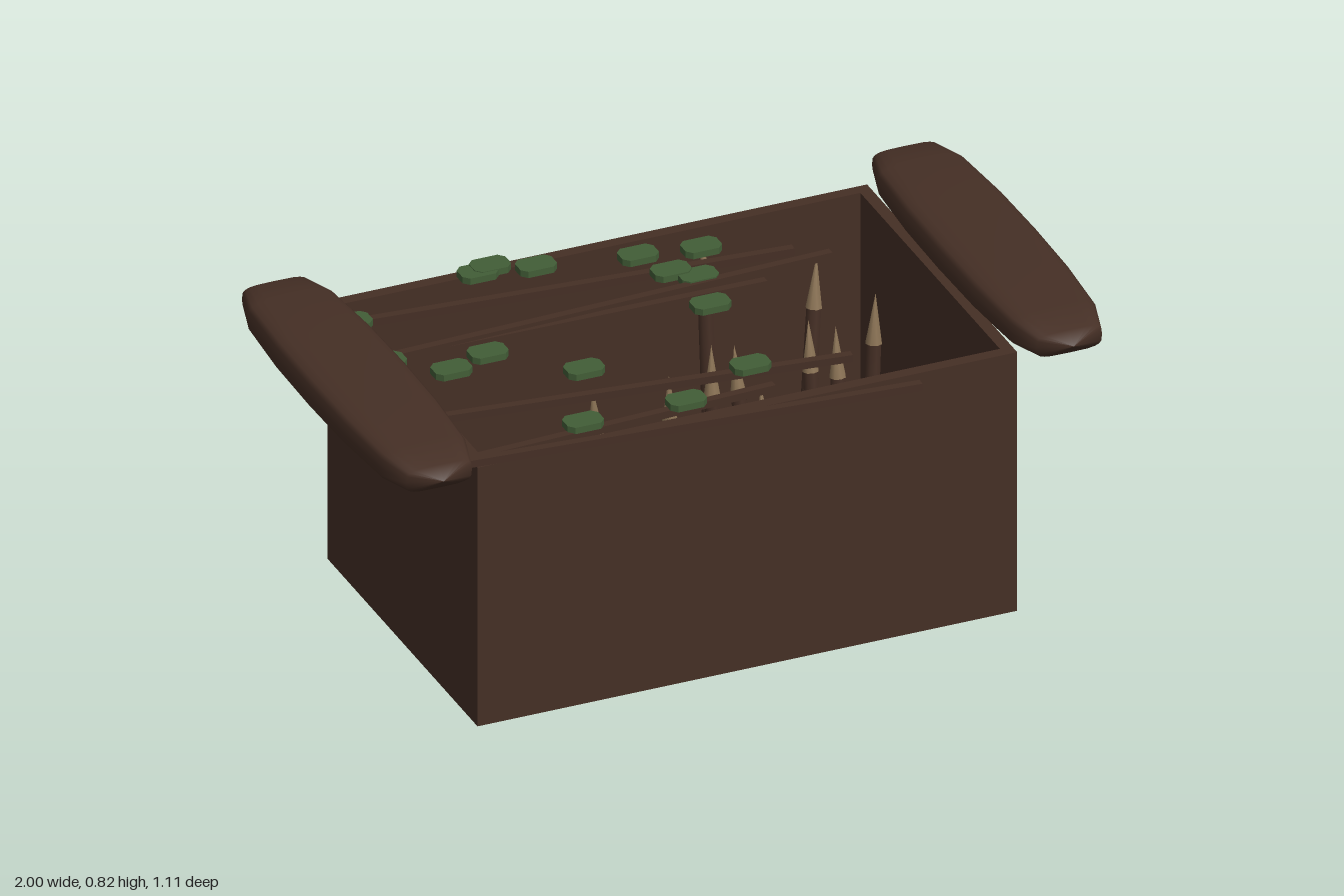
import * as THREE from 'three';

const bark = new THREE.MeshStandardMaterial({ color: 0x452f25 });
bark.name = 'dark bark';
const tan = new THREE.MeshStandardMaterial({ color: 0x8b7355 });
tan.name = 'cut wood';
const green = new THREE.MeshStandardMaterial({ color: 0x425e37 });
green.name = 'leaf green';

const rect = (P, hx, hy) => new P([[-hx, -hy], [hx, -hy], [hx, hy], [-hx, hy]].map(p => new THREE.Vector2(...p)));

// Boulder-like log lofted along z from rounded-rectangle sections
function logGeometry() {
  const half = [[0.136, 0.052, 0], [0.133, 0.051, 0.21], [0.12, 0.046, 0.41], [0.09, 0.033, 0.515], [0, 0, 0.545]];
  const stations = [...half.slice(1).reverse().map(([w, h, z]) => [w, h, -z]), ...half];
  const n = 20, pos = [], idx = [];
  const soft = v => Math.sign(v) * Math.sqrt(Math.abs(v));
  stations.forEach(([w, h, z], i) => {
    for (let j = 0; j < n; j++) {
      const a = (j / n) * Math.PI * 2;
      pos.push(w * soft(Math.cos(a)), h * soft(Math.sin(a)), z);
      if (i < stations.length - 1) {
        const p = i * n + j, q = i * n + (j + 1) % n;
        idx.push(p, q, p + n, q, q + n, p + n);
      }
    }
  });
  const g = new THREE.BufferGeometry();
  g.setAttribute('position', new THREE.Float32BufferAttribute(pos, 3));
  g.setIndex(idx);
  g.computeVertexNormals();
  return g;
}

// Flat leaf with clipped corners
function leafGeometry() {
  const pts = [[0.05, -0.018], [0.05, 0.018], [0.035, 0.034], [-0.035, 0.034],
    [-0.05, 0.018], [-0.05, -0.018], [-0.035, -0.034], [0.035, -0.034]];
  const s = new THREE.Shape(pts.map(p => new THREE.Vector2(...p)));
  return new THREE.ExtrudeGeometry(s, { depth: 0.018, bevelEnabled: false }).rotateX(-Math.PI / 2);
}

export function createModel() {
  const model = new THREE.Group();
  const add = (name, geo, mat, parent = model) => {
    const m = new THREE.Mesh(geo, mat);
    m.name = name;
    parent.add(m);
    return m;
  };

  // Pit: open walls and floor
  const frame = rect(THREE.Shape, 0.74, 0.47);
  frame.holes.push(rect(THREE.Path, 0.707, 0.437));
  const walls = new THREE.ExtrudeGeometry(frame, { depth: 0.745, bevelEnabled: false }).rotateX(-Math.PI / 2);
  add('pitWalls', walls, bark).position.z = -0.01;
  add('pitFloor', new THREE.BoxGeometry(1.414, 0.03, 0.874), bark).position.set(0, 0.015, -0.01);

  // Logs along both short sides
  const logGeo = logGeometry();
  for (const [name, s] of [['leftLog', 1], ['rightLog', -1]]) {
    add(name, logGeo, bark).position.set(s * 0.864, 0.771, -0.012);
  }

  // Leaning stakes: tip x, tip z, base x, base z, tip height
  const stakes = [
    [0.25, -0.39, 0.26, -0.35, 0.74], [0.51, -0.27, 0.44, -0.2, 0.7], [0.43, -0.14, 0.43, -0.085, 0.6],
    [0.2, -0.08, 0.23, -0.035, 0.61], [0.22, 0.04, 0.245, 0.09, 0.55], [0.54, 0.03, 0.505, 0.05, 0.74],
    [0.38, 0.145, 0.38, 0.21, 0.74], [-0.21, -0.03, -0.15, -0.08, 0.6], [-0.03, 0.04, 0.01, -0.015, 0.55],
    [-0.25, 0.22, -0.22, 0.2, 0.43], [-0.1, 0.235, -0.075, 0.19, 0.48], [-0.53, 0.225, -0.545, 0.21, 0.45],
    [0.19, -0.2, 0.185, -0.17, 0.55], [0.065, -0.18, 0.08, -0.19, 0.5],
  ];
  const up = new THREE.Vector3(0, 1, 0), point = 0.14;
  for (const [tx, tz, bx, bz, h] of stakes) {
    const base = new THREE.Vector3(bx, 0.025, bz);
    const axis = new THREE.Vector3(tx, h, tz).sub(base);
    const len = axis.length(), shaft = len - point;
    const stake = new THREE.Group();
    stake.name = 'stake';
    stake.position.copy(base);
    stake.quaternion.setFromUnitVectors(up, axis.normalize());
    add('stakeShaft', new THREE.CylinderGeometry(0.02, 0.023, shaft, 8), bark, stake).position.y = shaft / 2;
    add('stakePoint', new THREE.ConeGeometry(0.022, point, 8), tan, stake).position.y = len - point / 2;
    model.add(stake);
  }

  // Twigs laid across the opening: start x, z, end x, z, height
  const twigs = [
    [-0.78, -0.335, 0.43, -0.235, 0.752], [-0.78, -0.115, 0.5, -0.16, 0.763], [-0.78, -0.125, 0.3, -0.11, 0.752],
    [-0.78, 0.195, 0.345, 0.325, 0.752], [-0.78, 0.425, 0.105, 0.385, 0.75], [-0.78, 0.45, 0.44, 0.543, 0.76],
  ];
  for (const [x0, z0, x1, z1, y] of twigs) {
    const twig = add('twig', new THREE.BoxGeometry(Math.hypot(x1 - x0, z1 - z0), 0.02, 0.022), bark);
    twig.position.set((x0 + x1) / 2, y, (z0 + z1) / 2);
    twig.rotation.y = -Math.atan2(z1 - z0, x1 - x0);
  }

  // Leaves scattered over the twigs
  const leaves = [
    [-0.355, -0.418], [-0.315, -0.433], [-0.21, -0.385], [0.05, -0.34], [0.21, -0.31], [0.09, -0.225],
    [0.145, -0.18], [0.115, -0.035], [-0.5, -0.025], [-0.615, 0.01], [-0.31, 0.145], [0.08, 0.295],
    [-0.42, 0.39], [-0.14, 0.395], [-0.75, -0.305], [-0.75, -0.09],
  ];
  const leafGeo = leafGeometry();
  leaves.forEach(([x, z], i) => add('leaf', leafGeo, green).position.set(x, 0.759 + (i % 3) * 0.002, z));

  return model;
}
